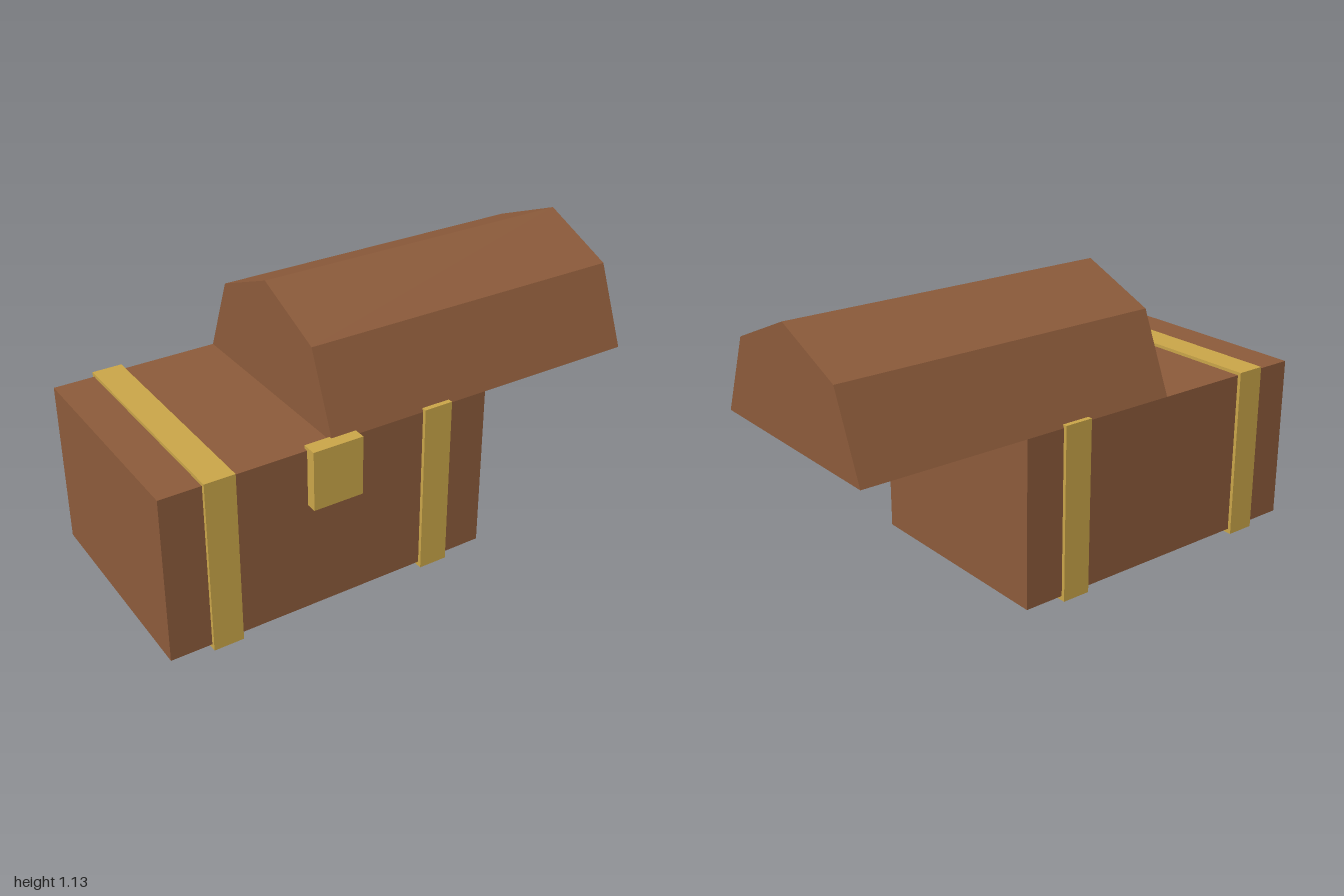
import * as THREE from 'three';

export function createModel() {
  const group = new THREE.Group();
  const wood = new THREE.MeshStandardMaterial({ color: 0x8b5a3a });
  wood.name = 'brown wood';
  const brass = new THREE.MeshStandardMaterial({ color: 0xc8a448 });
  brass.name = 'brass';

  const add = (name, geometry, material) => {
    const mesh = new THREE.Mesh(geometry, material);
    mesh.name = name;
    group.add(mesh);
    return mesh;
  };

  // Box spanning the given ranges on each axis
  const block = (name, [x0, x1], [y0, y1], [z0, z1], material) =>
    add(name, new THREE.BoxGeometry(x1 - x0, y1 - y0, z1 - z0), material)
      .position.set((x0 + x1) / 2, (y0 + y1) / 2, (z0 + z1) / 2);

  // Chest body
  block('chestBody', [-1, 0.333], [0.018, 0.685], [-0.459, 0.43], wood);

  // Faceted lid, slid sideways along the body; the profile runs from back to front
  const profile = [[-0.459, 0.685], [-0.327, 0.997], [-0.014, 1.127], [0.3, 0.997], [0.43, 0.685]];
  const shape = new THREE.Shape(profile.map(([z, y]) => new THREE.Vector2(-z, y)));
  const lid = new THREE.ExtrudeGeometry(shape, { depth: 1.335, bevelEnabled: false });
  lid.rotateY(Math.PI / 2);
  lid.translate(-0.335, 0, 0);
  add('lid', lid, wood);

  // Straps wrapped around the body
  for (const [name, x] of [['rightStrap', -0.78], ['leftStrap', 0.11]]) {
    block(name, [x - 0.059, x + 0.059], [0, 0.698], [-0.473, 0.445], brass);
  }

  // Lock plate
  block('lock', [-0.437, -0.235], [0.461, 0.698], [0.413, 0.473], brass);

  return group;
}
